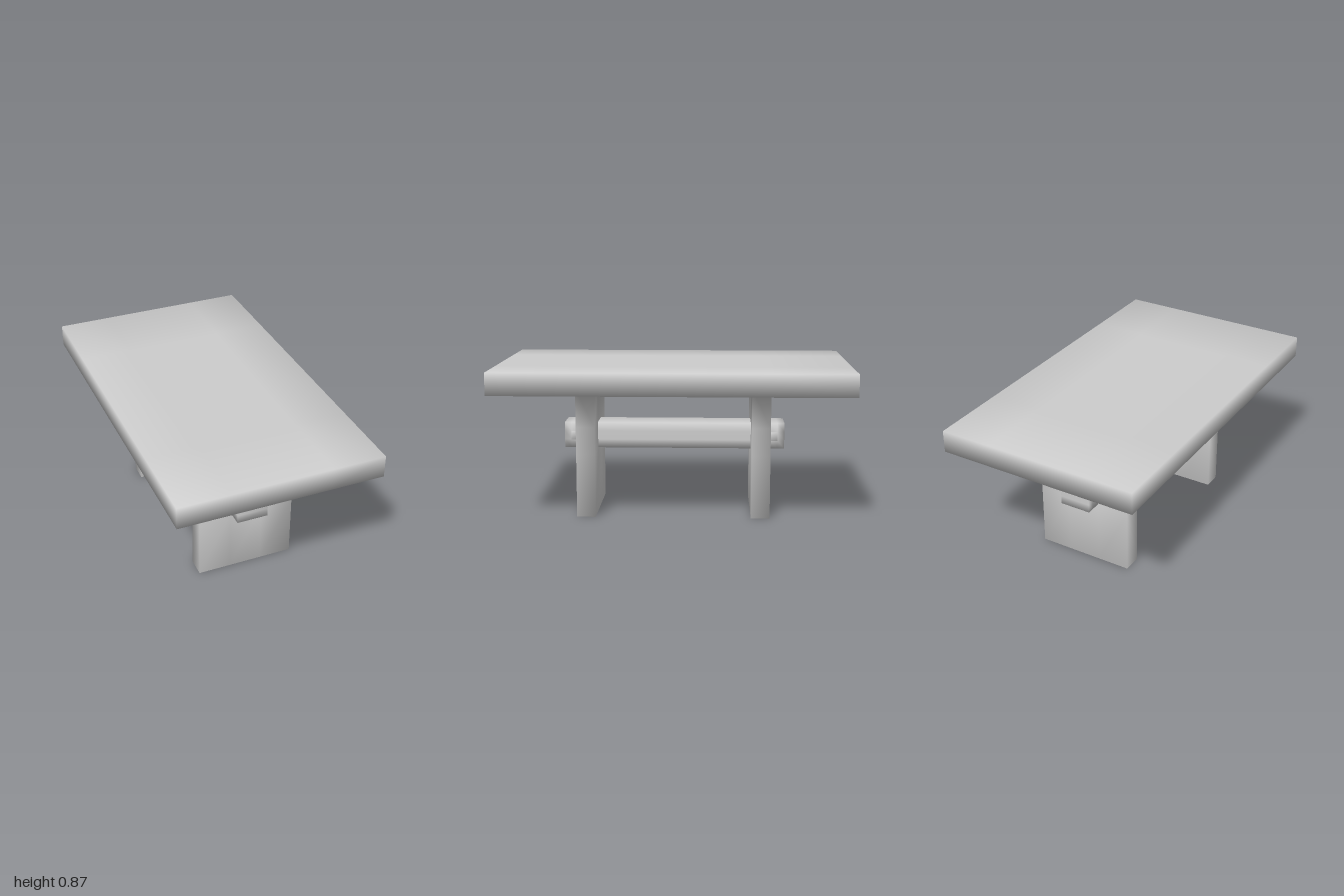
import * as THREE from 'three';
import { mergeVertices } from 'three/addons/utils/BufferGeometryUtils.js';

const material = new THREE.MeshStandardMaterial({ color: 0xcccccc });

// Builds a smooth-shaded solid from a grid of cells. cuts = [xs, ys, zs];
// partAt(i, j, k) names the part that fills a cell, or returns null.
// Parts share welded normals but become separate named meshes.
function cellSolid(cuts, partAt) {
  const at = (c) =>
    c.some((v, a) => v < 0 || v >= cuts[a].length - 1) ? null : partAt(...c);
  const positions = [];
  const faces = {};
  const addFace = (cell, axis, sign, part) => {
    const b = (axis + 1) % 3, c = (axis + 2) % 3;
    const corners = [[0, 0], [1, 0], [1, 1], [0, 1]].map(([u, v]) => {
      const p = [...cell];
      p[axis] += sign > 0 ? 1 : 0;
      p[b] += u;
      p[c] += v;
      return p.map((n, a) => cuts[a][n]);
    });
    if (sign < 0) corners.reverse();
    const start = positions.length / 3;
    for (const n of [0, 1, 2, 0, 2, 3]) positions.push(...corners[n]);
    (faces[part] ??= []).push(start);
  };
  for (let i = 0; i < cuts[0].length - 1; i++)
    for (let j = 0; j < cuts[1].length - 1; j++)
      for (let k = 0; k < cuts[2].length - 1; k++) {
        const part = at([i, j, k]);
        if (!part) continue;
        for (let axis = 0; axis < 3; axis++)
          for (const sign of [-1, 1]) {
            const next = [i, j, k];
            next[axis] += sign;
            if (!at(next)) addFace([i, j, k], axis, sign, part);
          }
      }

  // Weld the whole surface so the normals run smoothly across parts
  const raw = new THREE.BufferGeometry();
  raw.setAttribute('position', new THREE.Float32BufferAttribute(positions, 3));
  const welded = mergeVertices(raw);
  welded.computeVertexNormals();
  const index = welded.index.array;

  return Object.entries(faces).map(([name, starts]) => {
    const piece = new THREE.BufferGeometry();
    piece.setAttribute('position', welded.attributes.position);
    piece.setAttribute('normal', welded.attributes.normal);
    piece.setIndex(starts.flatMap((s) => Array.from(index.slice(s, s + 6))));
    const mesh = new THREE.Mesh(piece.toNonIndexed(), material);
    mesh.name = name;
    return mesh;
  });
}

const mirrored = (...values) => [...values.map((v) => -v).reverse(), ...values];

export function createModel() {
  const table = new THREE.Group();
  table.name = 'trestleTable';

  // Thick top on two slab legs, each with a square mortise for the beam
  table.add(...cellSolid(
    [
      mirrored(0.094, 0.28, 0.577),
      [0, 0.364, 0.522, 0.744, 0.87],
      mirrored(0.445, 0.552, 1),
    ],
    (i, j, k) => {
      if (j === 3) return 'tabletop';
      const inLeg = i > 0 && i < 4 && (k === 1 || k === 3);
      const inMortise = i === 2 && j === 1;
      if (!inLeg || inMortise) return null;
      return k === 3 ? 'frontLeg' : 'backLeg';
    },
  ));

  // Beam through both legs, locked by a cross peg outside each leg
  table.add(...cellSolid(
    [
      mirrored(0.09, 0.113),
      [0.37, 0.418, 0.468, 0.518],
      mirrored(0.558, 0.6, 0.64),
    ],
    (i, j, k) => {
      if (i === 1) return 'stretcherBeam';
      if (j !== 1 || (k !== 1 && k !== 3)) return null;
      return (k === 3 ? 'front' : 'back') + (i === 2 ? 'LeftPeg' : 'RightPeg');
    },
  ));

  return table;
}
